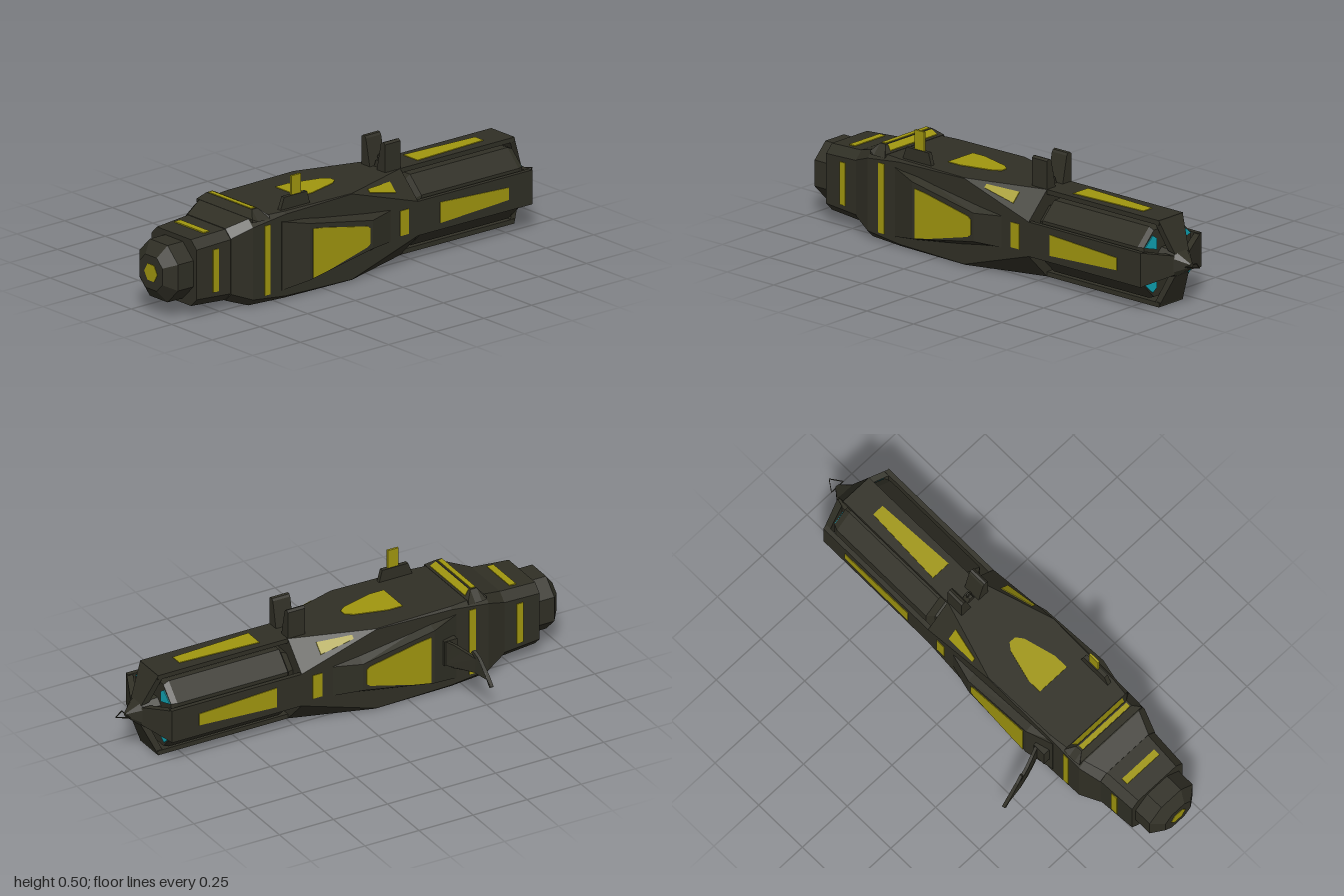
import * as THREE from 'three';

const mat = (name, color) => {
  const m = new THREE.MeshStandardMaterial({ color });
  m.name = name;
  return m;
};

export function createModel() {
  const dark = mat('dark olive metal', 0x302f25);
  const yellow = mat('yellow glow', 0xa0960f);
  const cyan = mat('cyan glow', 0x10a5b5);

  const model = new THREE.Group();
  const core = new THREE.Group(); // everything centred on the long axis
  core.name = 'core';
  core.position.set(0, 0.1825, 0.1225);
  model.add(core);

  const add = (name, geo, material, parent = core) => {
    const m = new THREE.Mesh(geo, material);
    m.name = name;
    parent.add(m);
    return m;
  };

  // flat-shaded closed loft through rings of [x, y, z], ordered from +y towards +z
  const loft = (rings) => {
    const p = [];
    const tri = (a, b, c) => p.push(...a, ...b, ...c);
    const n = rings[0].length;
    for (let r = 0; r < rings.length - 1; r++) {
      for (let i = 0; i < n; i++) {
        const j = (i + 1) % n, A = rings[r], B = rings[r + 1];
        tri(A[i], A[j], B[j]);
        tri(A[i], B[j], B[i]);
      }
    }
    const s = rings[0], e = rings[rings.length - 1];
    for (let i = 1; i < n - 1; i++) {
      tri(s[0], s[i + 1], s[i]);
      tri(e[0], e[i], e[i + 1]);
    }
    const g = new THREE.BufferGeometry();
    g.setAttribute('position', new THREE.Float32BufferAttribute(p, 3));
    g.computeVertexNormals();
    return g;
  };
  // square section of half size h with corners cut by c
  const oct = ([x, h, c]) => {
    const k = h - c;
    return [[h, -k], [h, k], [k, h], [-k, h], [-h, k], [-h, -k], [-k, -h], [k, -h]].map(([y, z]) => [x, y, z]);
  };
  const octLoft = (...list) => loft(list.map(oct));
  // four-cornered section: half width w0 at z0 and w1 at z1
  const bar = ([x, w0, z0, w1, z1]) => [[x, -w0, z0], [x, w0, z0], [x, w1, z1], [x, -w1, z1]];
  const barLoft = (...list) => loft(list.map(bar));

  const extrude = (pts, depth) => new THREE.ExtrudeGeometry(
    new THREE.Shape(pts.map(([x, y]) => new THREE.Vector2(x, y))), { depth, bevelEnabled: false });
  const V = (x, y, z) => new THREE.Vector3(x, y, z);
  // thin plate lying at distance r from the axis
  const plate = (pts, r) => extrude(pts, 0.005).translate(0, 0, r - 0.002);
  const rect = (x0, x1, w) => [[x0, -w], [x1, -w], [x1, w], [x0, w]];
  // quarter turns: 0 front, 1 top, 2 back, 3 bottom
  const onSide = (mesh, k) => { mesh.rotation.x = -k * Math.PI / 2; return mesh; };

  // hull sections
  add('rearCap', octLoft([-1, 0.07, 0.035], [-0.96, 0.12, 0.065], [-0.87, 0.12, 0.065]), dark);
  add('rearCollar', octLoft([-0.88, 0.14, 0.035], [-0.7, 0.15, 0.035]), dark);
  add('mainBody', octLoft([-0.71, 0.152, 0.035], [-0.62, 0.1825, 0.03], [-0.45, 0.1825, 0.01],
    [-0.1, 0.1825, 0.002], [0.245, 0.1825, 0.11]), dark);
  add('barrel', octLoft([0.24, 0.11, 0.05], [0.27, 0.12, 0.06], [0.29, 0.15, 0.07],
    [0.8, 0.15, 0.07], [0.825, 0.14, 0.06]), dark);
  add('noseCore', octLoft([0.82, 0.06, 0.025], [0.9, 0.052, 0.022], [0.955, 0.008, 0.003]), dark);

  const rearLight = new THREE.CylinderGeometry(0.04, 0.04, 0.006, 6).rotateZ(Math.PI / 2).translate(-0.999, 0, 0);
  add('rearLight', rearLight.toNonIndexed(), yellow);

  // rails, nose struts and lights repeated around the axis
  for (let k = 0; k < 4; k++) {
    onSide(add('rail', new THREE.BoxGeometry(0.61, 0.145, 0.02).translate(0.54, 0, 0.1725), dark), k);
    onSide(add('noseStrut', loft([
      [[0.825, -0.07, 0.162], [0.825, 0.07, 0.162], [0.843, 0.0725, 0.1825], [0.843, -0.0725, 0.1825]],
      [[0.87, -0.045, 0.055], [0.87, 0.045, 0.055], [0.905, 0.04, 0.045], [0.905, -0.04, 0.045]],
    ]), dark), k);
    onSide(add('railLight', plate([[0.36, -0.044], [0.72, -0.026], [0.72, 0.026], [0.36, 0.044]], 0.1825), yellow), k);
    onSide(add('collarLight', plate(rect(-0.8, -0.77, 0.09), 0.1465), yellow), k);
    const sy = k % 2 ? -1 : 1, sz = k < 2 ? 1 : -1;
    const lens = extrude([[0.064, 0.056], [0.066, 0.104], [0.09, 0.12], [0.137, 0.078]].map(
      ([z, y]) => [y * sy, z * sz]), 0.005);
    lens.applyMatrix4(new THREE.Matrix4().makeBasis(V(0, 1, 0), V(0, 0, 1), V(1, 0, 0)));
    add('barrelLens', lens.translate(0.824, 0, 0), cyan);
  }

  // both flanks: raised panel, window and slots
  for (const k of [0, 2]) {
    const flank = new THREE.Group();
    flank.name = 'flank';
    if (k) flank.scale.z = -1;
    core.add(flank);
    add('sidePanel', barLoft([-0.47, 0.147, 0.17, 0.145, 0.184], [-0.35, 0.137, 0.17, 0.12, 0.2165],
      [-0.02, 0.088, 0.17, 0.06, 0.2165], [0.1, 0.07, 0.17, 0.066, 0.184]), dark, flank);
    add('sideWindow', plate([[-0.335, -0.114], [-0.26, -0.1], [-0.05, -0.046], [-0.035, -0.034],
      [-0.035, 0.03], [-0.05, 0.042], [-0.28, 0.088], [-0.335, 0.095]], 0.2165), yellow, flank);
    add('rearSlot', plate(rect(-0.56, -0.53, 0.147), 0.1825), yellow, flank);
    add('neckSlot', plate(rect(0.15, 0.195, 0.053), 0.1825), yellow, flank);
  }

  // lights on the upper corner facets
  const cornerRing = (x, w) => {
    const r = Math.SQRT2 * (0.1825 - 0.055 * (x + 0.1) / 0.345);
    return [x, w, r - 0.004, w, r + 0.003];
  };
  for (const k of [0.5, 1.5]) {
    onSide(add('cornerLight', barLoft(cornerRing(0, 0.009), cornerRing(0.145, 0.027)), yellow), k);
  }

  // top window and ridge
  onSide(add('topWindow', plate([[-0.285, -0.075], [-0.22, -0.075], [-0.08, -0.038], [-0.05, -0.015],
    [-0.05, 0.015], [-0.08, 0.038], [-0.22, 0.075], [-0.285, 0.075]], 0.1825), yellow), 1);
  onSide(add('topRidge', barLoft([-0.615, 0.175, 0.17, 0.172, 0.183], [-0.59, 0.18, 0.17, 0.14, 0.2125],
    [-0.56, 0.18, 0.17, 0.14, 0.2125], [-0.53, 0.18, 0.17, 0.175, 0.184]), dark), 1);
  onSide(add('ridgeLight', plate(rect(-0.588, -0.567, 0.132), 0.2125), yellow), 1);
  onSide(add('ridgeSlopeLight', barLoft([-0.557, 0.13, 0.205, 0.13, 0.212],
    [-0.536, 0.14, 0.186, 0.14, 0.193]), yellow), 1);

  // paired sight fins with a small ring between them
  const endOn = new THREE.Matrix4().makeBasis(V(0, 0, -1), V(0, 1, 0), V(1, 0, 0));
  for (const s of [-1, 1]) {
    const fin = extrude([[0.02, 0.175], [0.073, 0.175], [0.073, 0.3], [0.063, 0.308], [0.053, 0.305], [0.046, 0.296]]
      .map(([a, b]) => [a * s, b]), 0.08).applyMatrix4(endOn);
    add('sightFin', fin.translate(0.165, 0, 0), dark);
  }
  add('sightRing', new THREE.TorusGeometry(0.011, 0.004, 6, 12).rotateY(Math.PI / 2).translate(0.2, 0.222, 0), dark);
  add('sightPost', extrude([[-0.02, 0.18], [0.02, 0.18], [0.008, 0.212], [-0.008, 0.212]], 0.03)
    .applyMatrix4(endOn).translate(0.185, 0, 0), dark);

  // flat antenna
  add('antennaBase', extrude([[-0.455, 0.18], [-0.3, 0.18], [-0.315, 0.234], [-0.435, 0.234]], 0.018)
    .translate(0, 0, 0.139), dark);
  add('antenna', new THREE.BoxGeometry(0.05, 0.085, 0.01).translate(-0.368, 0.272, 0.148), yellow);

  // thin triangular wire at the tip
  const bars = [[0.952, -0.033, 0.999, 0], [0.952, 0.033, 0.999, 0], [0.952, -0.033, 0.952, 0.033]];
  for (const [x0, z0, x1, z1] of bars) {
    const m = add('tipWire', new THREE.BoxGeometry(Math.hypot(x1 - x0, z1 - z0), 0.004, 0.003), dark);
    m.position.set((x0 + x1) / 2, 0, (z0 + z1) / 2);
    m.rotation.y = -Math.atan2(z1 - z0, x1 - x0);
  }

  // curved lever on the back flank, swept by a bend rule
  const lever = extrude([[0.085, 0.13], [0.132, 0.13], [0.18, 0.14], [0.235, 0.15], [0.31, 0.15], [0.33, 0.122],
    [0.34, 0.13], [0.31, 0.165], [0.255, 0.225], [0.225, 0.247], [0.215, 0.236], [0.243, 0.215],
    [0.18, 0.225], [0.132, 0.235], [0.085, 0.238]], 0.014);
  const pos = lever.attributes.position;
  for (let i = 0; i < pos.count; i++) {
    const t = (pos.getX(i) - 0.085) / 0.255;
    pos.setZ(i, pos.getZ(i) - 0.412 - 0.068 * Math.sin(t * Math.PI / 2));
  }
  lever.computeVertexNormals();
  add('lever', lever.applyMatrix4(endOn), dark, model);
  add('leverMount', new THREE.BoxGeometry(0.06, 0.11, 0.03).translate(-0.425, 0.184, -0.08), dark, model);

  return model;
}
